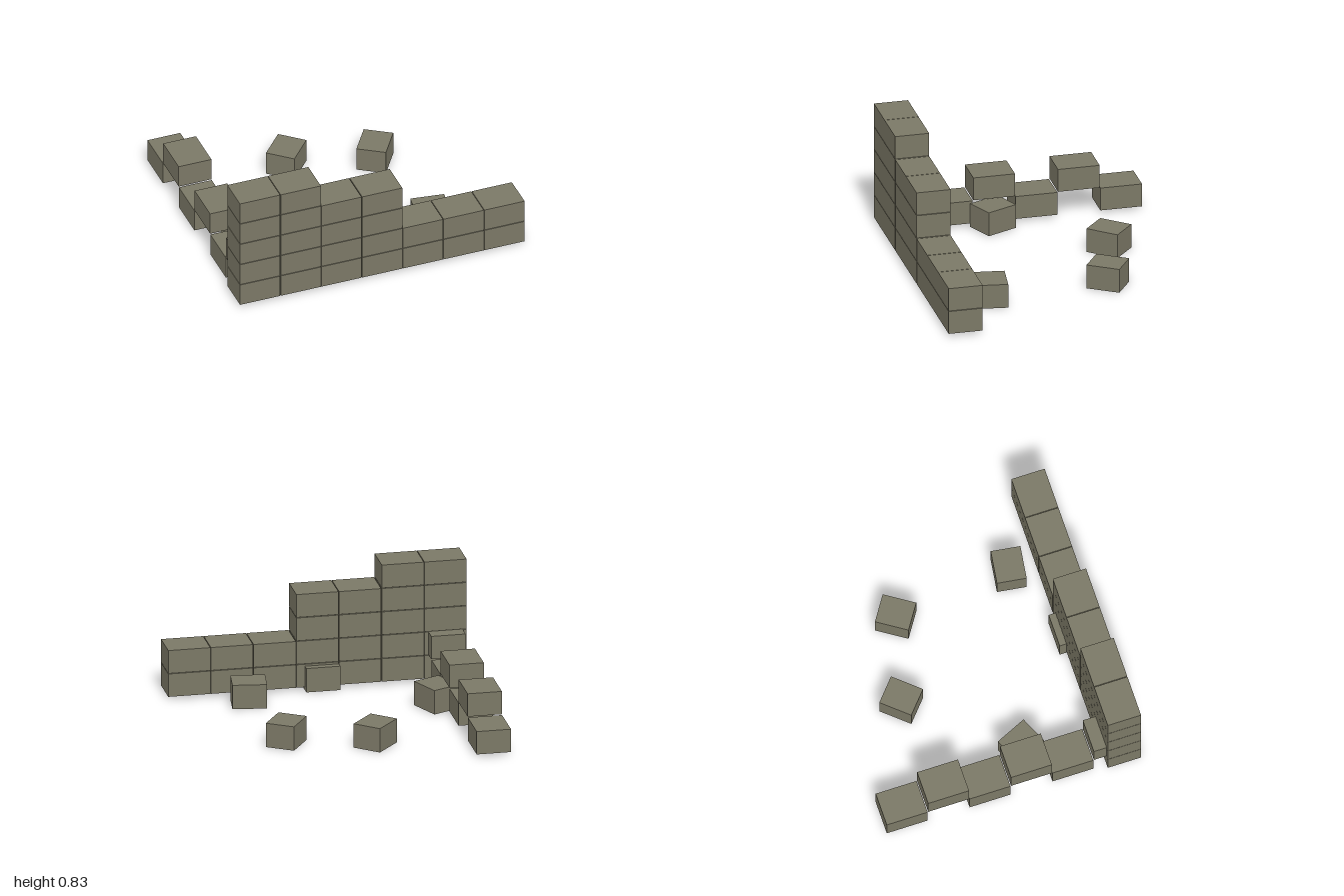
import * as THREE from 'three';

export function createModel() {
  const model = new THREE.Group();
  const stone = new THREE.MeshStandardMaterial({ color: 0x7b7866, flatShading: true });
  const wallBrick = new THREE.BoxGeometry(0.282, 0.159, 0.23);
  const looseBrick = new THREE.BoxGeometry(0.228, 0.166, 0.198);

  function addBrick(parent, geometry, name, x, y, z, turn = 0) {
    const brick = new THREE.Mesh(geometry, stone);
    brick.name = name;
    brick.position.set(x, y, z);
    brick.rotation.y = turn;
    parent.add(brick);
  }
  const courseY = (row) => 0.1 + row * 0.163;

  // Stepped front wall: bricks per course, from the bottom up
  const frontWall = new THREE.Group();
  frontWall.name = 'frontWall';
  [7, 7, 4, 4, 2].forEach((count, row) => {
    for (let i = 0; i < count; i++) {
      addBrick(frontWall, wallBrick, 'frontWallBrick', -0.859 + i * 0.2863, courseY(row), 0.758);
    }
  });
  model.add(frontWall);

  // Ruined side wall: bricks alternate between the two lowest courses
  const sideWall = new THREE.Group();
  sideWall.name = 'sideWall';
  for (let i = 0; i < 6; i++) {
    addBrick(sideWall, wallBrick, 'sideWallBrick', -0.86, courseY(i % 2), -0.735 + i * 0.2863, Math.PI / 2);
  }
  model.add(sideWall);

  // Fallen bricks on the ground: x, z, turn
  const rubble = new THREE.Group();
  rubble.name = 'rubble';
  [
    [-0.145, -0.5, 0.85],
    [0.42, -0.35, 0.99],
    [0.5, 0.458, -0.14],
    [-0.692, 0.145, -1.15],
    [-0.03, 0.695, 0],
  ].forEach(([x, z, turn]) => addBrick(rubble, looseBrick, 'looseBrick', x, 0.083, z, turn));
  model.add(rubble);

  return model;
}
